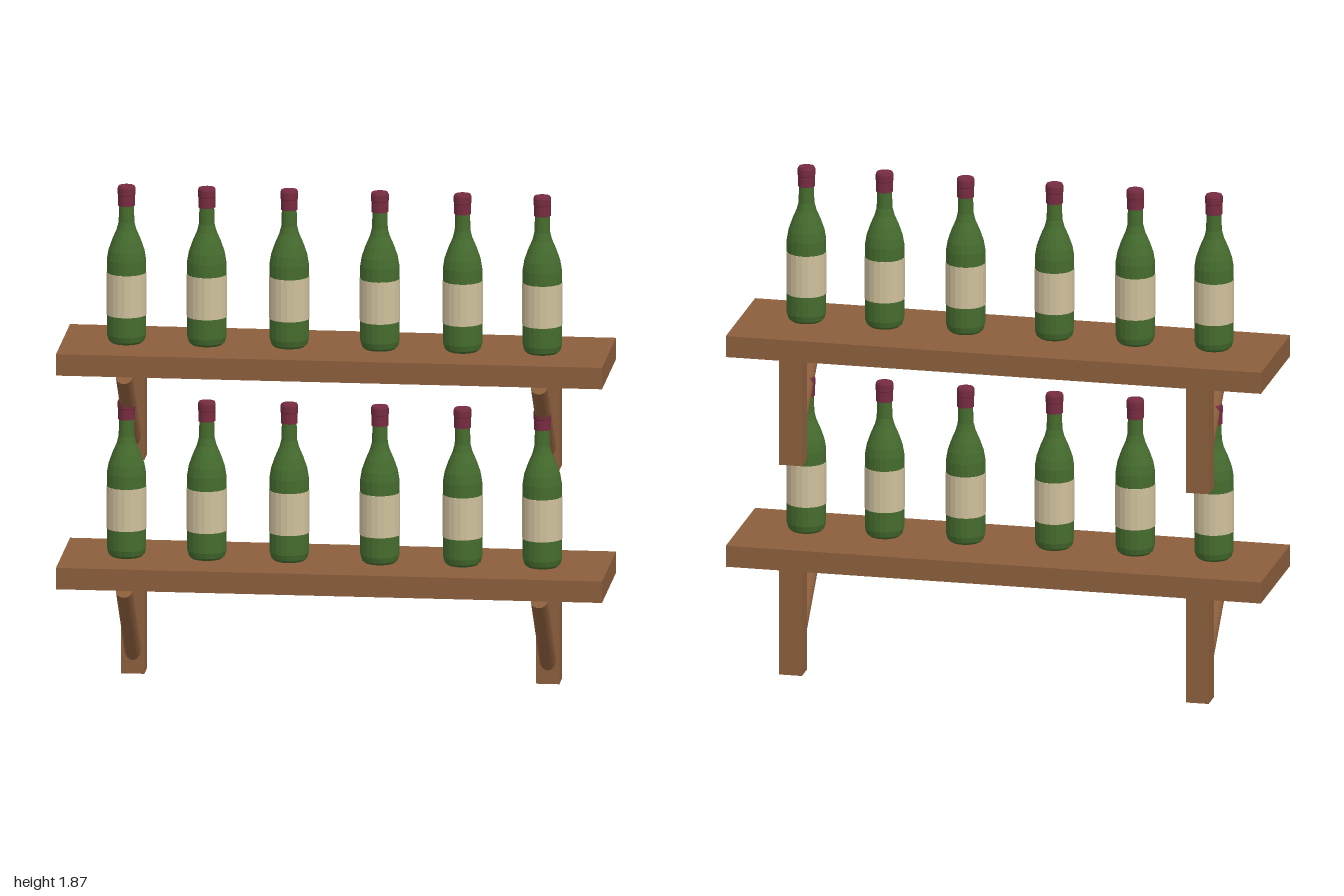
import * as THREE from 'three';

const material = (name, color) => {
  const m = new THREE.MeshStandardMaterial({ color });
  m.name = name;
  return m;
};

export function createModel() {
  const wood = material('wood', 0x8b5e3c);
  const glass = material('green glass', 0x456b2e);
  const paper = material('cream paper', 0xcfc09c);
  const foil = material('burgundy foil', 0x762b40);
  for (const m of [glass, paper, foil]) m.flatShading = true;

  const add = (parent, name, geometry, mat, x = 0, y = 0, z = 0) => {
    const mesh = new THREE.Mesh(geometry, mat);
    mesh.name = name;
    mesh.position.set(x, y, z);
    parent.add(mesh);
    return mesh;
  };
  const lathe = (points) =>
    new THREE.LatheGeometry(points.map(([r, y]) => new THREE.Vector2(r, y)), 20);

  // Bottle profiles, radius and height above the shelf
  const bottleGeo = lathe([
    [0, 0], [0.056, 0], [0.066, 0.009], [0.072, 0.03], [0.072, 0.31],
    [0.066, 0.345], [0.052, 0.385], [0.036, 0.422], [0.029, 0.45], [0.027, 0.515],
  ]);
  const labelGeo = lathe([[0.071, 0.105], [0.0738, 0.105], [0.0738, 0.262], [0.071, 0.262]]);
  const capGeo = lathe([
    [0.025, 0.512], [0.031, 0.512], [0.031, 0.55], [0.0325, 0.554],
    [0.0325, 0.577], [0.029, 0.585], [0, 0.585],
  ]);

  const boardGeo = new THREE.BoxGeometry(2, 0.08, 0.475);
  const postGeo = new THREE.BoxGeometry(0.085, 0.4, 0.085);

  // Diagonal brace endpoints in the y-z plane
  const top = new THREE.Vector3(0, 0.38, 0.15);
  const foot = new THREE.Vector3(0, 0.065, -0.17);
  const braceGeo = new THREE.CylinderGeometry(0.031, 0.031, top.distanceTo(foot), 16);
  const braceMid = top.clone().add(foot).multiplyScalar(0.5);
  const braceTilt = Math.atan2(top.z - foot.z, top.y - foot.y);

  const model = new THREE.Group();
  model.name = 'wallShelves';
  for (const base of [0, 0.8]) {
    const shelf = new THREE.Group();
    shelf.name = base ? 'upperShelf' : 'lowerShelf';
    shelf.position.y = base;
    model.add(shelf);
    add(shelf, 'board', boardGeo, wood, 0, 0.44, 0.0025);

    // Brackets: a wall post and a round brace
    for (const x of [-0.76, 0.76]) {
      add(shelf, 'post', postGeo, wood, x, 0.2, -0.183);
      add(shelf, 'brace', braceGeo, wood, x, braceMid.y, braceMid.z).rotation.x = braceTilt;
    }

    // Row of bottles, slightly uneven spacing
    for (const x of [-0.765, -0.471, -0.169, 0.163, 0.466, 0.758]) {
      const bottle = new THREE.Group();
      bottle.name = 'bottle';
      bottle.position.set(x, 0.481, 0.023);
      add(bottle, 'bottleGlass', bottleGeo, glass);
      add(bottle, 'label', labelGeo, paper);
      add(bottle, 'cap', capGeo, foil);
      shelf.add(bottle);
    }
  }
  return model;
}
